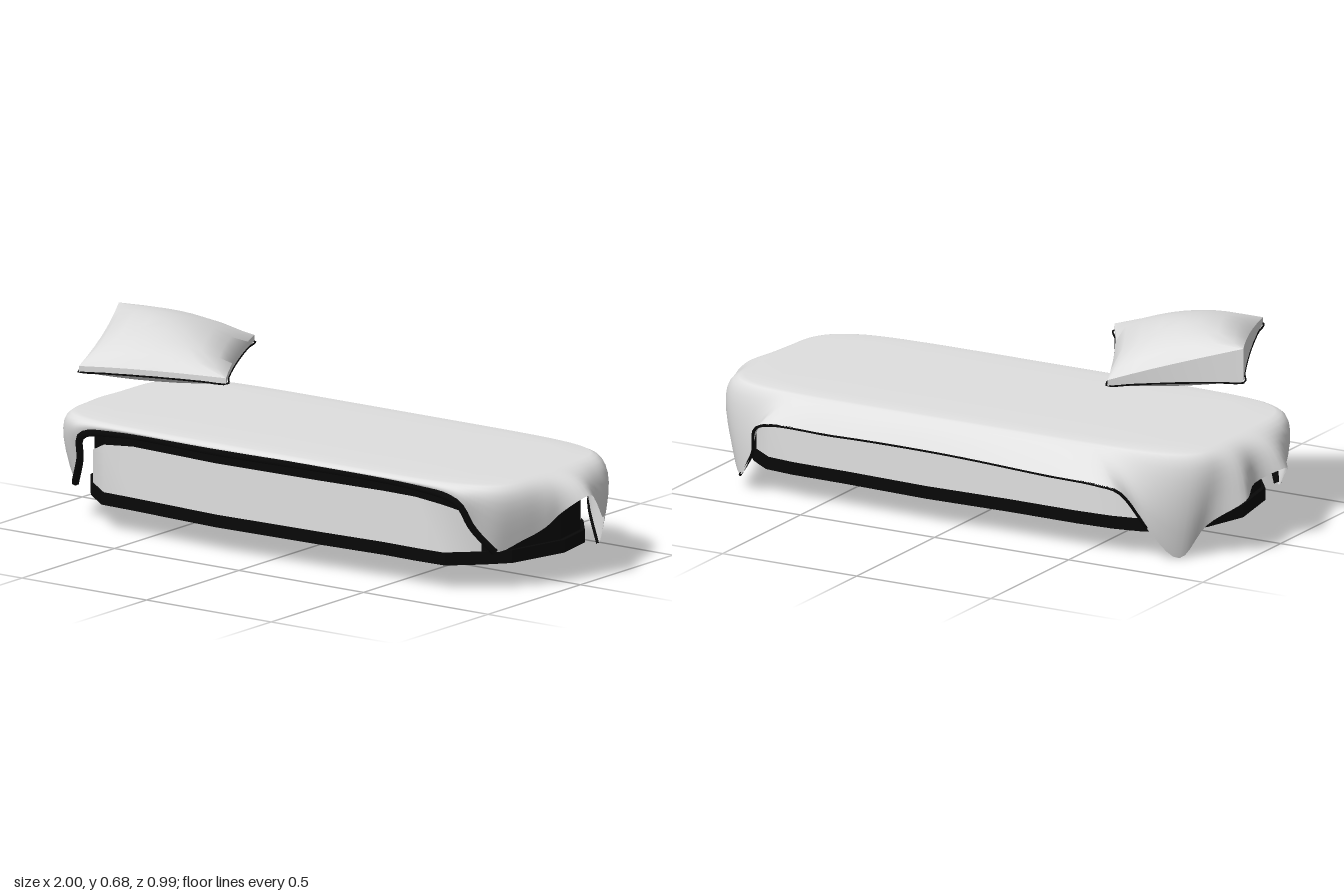
import * as THREE from 'three';
import { toCreasedNormals } from 'three/addons/utils/BufferGeometryUtils.js';

const V = (x, y, z) => new THREE.Vector3(x, y, z);

// Skin a list of closed rings, running from the top outward and down
function loftRings(rings) {
  const n = rings[0].length, pos = [], idx = [];
  rings.forEach((r) => r.forEach((p) => pos.push(p.x, p.y, p.z)));
  for (let i = 0; i < rings.length - 1; i++) {
    for (let k = 0; k < n; k++) {
      const a = i * n + k, b = i * n + (k + 1) % n, c = a + n, d = b + n;
      if (i > 0) idx.push(a, b, c);
      idx.push(b, d, c);
    }
  }
  const g = new THREE.BufferGeometry();
  g.setAttribute('position', new THREE.Float32BufferAttribute(pos, 3));
  g.setIndex(idx);
  g.computeVertexNormals();
  return g;
}

// Upright strip just outside a plan polyline of [x, z], with its top dropping at the ends
function wallStrip(line, y0, y1, push) {
  const pos = [], idx = [];
  const last = line.length - 1;
  line.forEach(([x, z], i) => {
    const drop = [0.06, 0.012, 0][Math.min(i, last - i, 2)];
    pos.push(x * 1.005, y0, z + push, x * 1.005, y1 - drop, z + push);
    if (i) idx.push(2 * i - 2, 2 * i, 2 * i - 1, 2 * i, 2 * i + 1, 2 * i - 1);
  });
  const g = new THREE.BufferGeometry();
  g.setAttribute('position', new THREE.Float32BufferAttribute(pos, 3));
  g.setIndex(idx);
  g.computeVertexNormals();
  return g;
}

export function createModel() {
  const cloth = new THREE.MeshStandardMaterial({ color: 0xe0e0e0 });
  cloth.name = 'pale cloth';
  cloth.side = THREE.DoubleSide;
  const black = new THREE.MeshStandardMaterial({ color: 0x080808 });
  black.name = 'black edging';

  const group = new THREE.Group();
  const add = (name, geo, mat) => {
    const m = new THREE.Mesh(geo, mat);
    m.name = name;
    group.add(m);
  };

  // Mattress: slightly wavy sides and faceted round ends
  const front = [[-0.775, 0.235], [-0.67, 0.32], [-0.55, 0.325], [-0.4, 0.335], [-0.2, 0.348], [0.2, 0.337],
    [0.45, 0.325], [0.58, 0.328], [0.69, 0.325], [0.78, 0.24]];
  const back = [[0.78, -0.29], [0.7, -0.35], [0.6, -0.362], [0.4, -0.365], [0.1, -0.378], [-0.2, -0.37],
    [-0.45, -0.372], [-0.58, -0.365], [-0.68, -0.345], [-0.76, -0.285]];
  const plan = [...front, [0.84, 0.17], [0.89, -0.04], [0.86, -0.19], ...back, [-0.83, -0.2], [-0.875, -0.05], [-0.84, 0.15]];
  const outline = (s) => new THREE.Shape(plan.map(([x, z]) => new THREE.Vector2(x * s, -z * s)));
  const slab = (s, y0, y1) => new THREE.ExtrudeGeometry(outline(s), { depth: y1 - y0, bevelEnabled: false })
    .rotateX(-Math.PI / 2).translate(0, y0, 0);
  add('mattress', slab(1, 0.1, 0.335), black);
  add('bottomLip', slab(1.017, 0.088, 0.13), black);
  // Underside panel faces down, leaving a black rim
  add('underside', new THREE.ShapeGeometry(outline(1)).rotateX(-Math.PI / 2).scale(0.98, 1, 0.955).translate(0, 0.086, 0), cloth);

  // Pale panels set between the black bands of both long sides
  add('frontPanel', wallStrip(front, 0.128, 0.3, 0.004), cloth);
  add('backPanel', wallStrip(back, 0.128, 0.3, -0.004), cloth);

  // Sheet: hem path clockwise from the back, with drooping corners
  const hem = [
    [-0.6, 0.27, -0.495], [-0.4, 0.27, -0.48], [0, 0.275, -0.455], [0.4, 0.275, -0.457], [0.69, 0.26, -0.455],
    [0.74, 0.15, -0.4], [0.82, 0.05, -0.34], [0.9, 0.165, -0.265], [0.94, 0.18, -0.2], [0.965, 0.25, -0.13],
    [1.0, 0.29, -0.045], [0.96, 0.245, 0.05], [0.94, 0.205, 0.11], [0.9, 0.17, 0.18], [0.835, 0.135, 0.24],
    [0.785, 0.22, 0.295], [0.755, 0.305, 0.335], [0.6, 0.336, 0.342], [-0.2, 0.338, 0.352], [-0.6, 0.336, 0.34],
    [-0.76, 0.305, 0.33], [-0.79, 0.22, 0.295], [-0.85, 0.12, 0.24], [-0.92, 0.18, 0.16], [-1.0, 0.25, 0.03],
    [-0.95, 0.22, -0.08], [-0.975, 0.19, -0.18], [-0.87, 0.11, -0.25], [-0.8, 0.003, -0.305], [-0.73, 0.12, -0.4],
    [-0.67, 0.25, -0.475],
  ].map((p) => V(...p));
  const edge = new THREE.CatmullRomCurve3(hem, true).getPoints(155).slice(0, -1);
  const rim = (p, s, y) => {
    const z = p.z + 0.015;
    const f = s * Math.pow((p.x / 0.93) ** 6 + (z / 0.375) ** 6, -1 / 6);
    return V(p.x * f, y, z * f - 0.015);
  };
  const rings = [[0, 0.368], [0.5, 0.368], [0.8, 0.367]].map(([s, y]) => edge.map((p) => rim(p, s, y)));
  for (let i = 0; i <= 8; i++) {
    rings.push(edge.map((p) => new THREE.QuadraticBezierCurve3(
      rim(p, 0.93, 0.364), rim(p, 1.03, 0.355), p).getPoint(i / 8)));
  }
  add('sheet', loftRings(rings), cloth);

  // Black binding along the front hem and, finer, along the back hem
  const binding = (points, r, closed) => new THREE.TubeGeometry(new THREE.CatmullRomCurve3(points, closed), 80, r, 6, closed);
  add('frontBinding', binding(hem.slice(14, 23), 0.013, false), black);
  const backHem = [...hem.slice(29), ...hem.slice(0, 7)];
  add('backBinding', binding(backHem.map((p) => V(p.x, p.y - 0.003, p.z + 0.004)), 0.005, false), black);

  // Pillow: square rings over four corners, one corner gaping open
  const corners = [[-0.89, -0.05, 0.655, 0.54], [-0.52, -0.285, 0.555, 0.535], [-0.23, 0.26, 0.56, 0.54], [-0.65, 0.49, 0.585, 0.565]];
  const square = [];
  for (let side = 0; side < 4; side++) {
    for (let i = 0; i < 6; i++) {
      const t = i / 3 - 1;
      square.push([[t, -1], [1, t], [-t, 1], [-1, -t]][side]);
    }
  }
  const pillowPoint = (u, v, top) => {
    // Sides pinch in between the corners
    const pu = u * (1 - 0.05 * (1 - v * v)), pv = v * (1 - 0.05 * (1 - u * u));
    const w = [(1 - pu) * (1 - pv), (1 + pu) * (1 - pv), (1 + pu) * (1 + pv), (1 - pu) * (1 + pv)];
    const mix = (j) => corners.reduce((sum, c, i) => sum + c[j] * w[i] / 4, 0);
    const puff = Math.pow(Math.max(0, (1 - u * u) * (1 - v * v)), 0.6);
    return V(mix(0), top ? mix(2) + 0.085 * puff : mix(3) - 0.05 * puff, mix(1));
  };
  const steps = [0, 0.3, 0.6, 0.85, 1];
  const ringAt = (s, top) => square.map(([u, v]) => pillowPoint(u * s, v * s, top));
  const pillow = loftRings([
    ...steps.map((s) => ringAt(s, true)),
    ...[...steps].reverse().map((s) => ringAt(s, false)),
  ]);
  add('pillow', toCreasedNormals(pillow, 0.7), cloth);
  add('pillowSeam', binding(ringAt(1, false), 0.003, true), black);

  return group;
}
